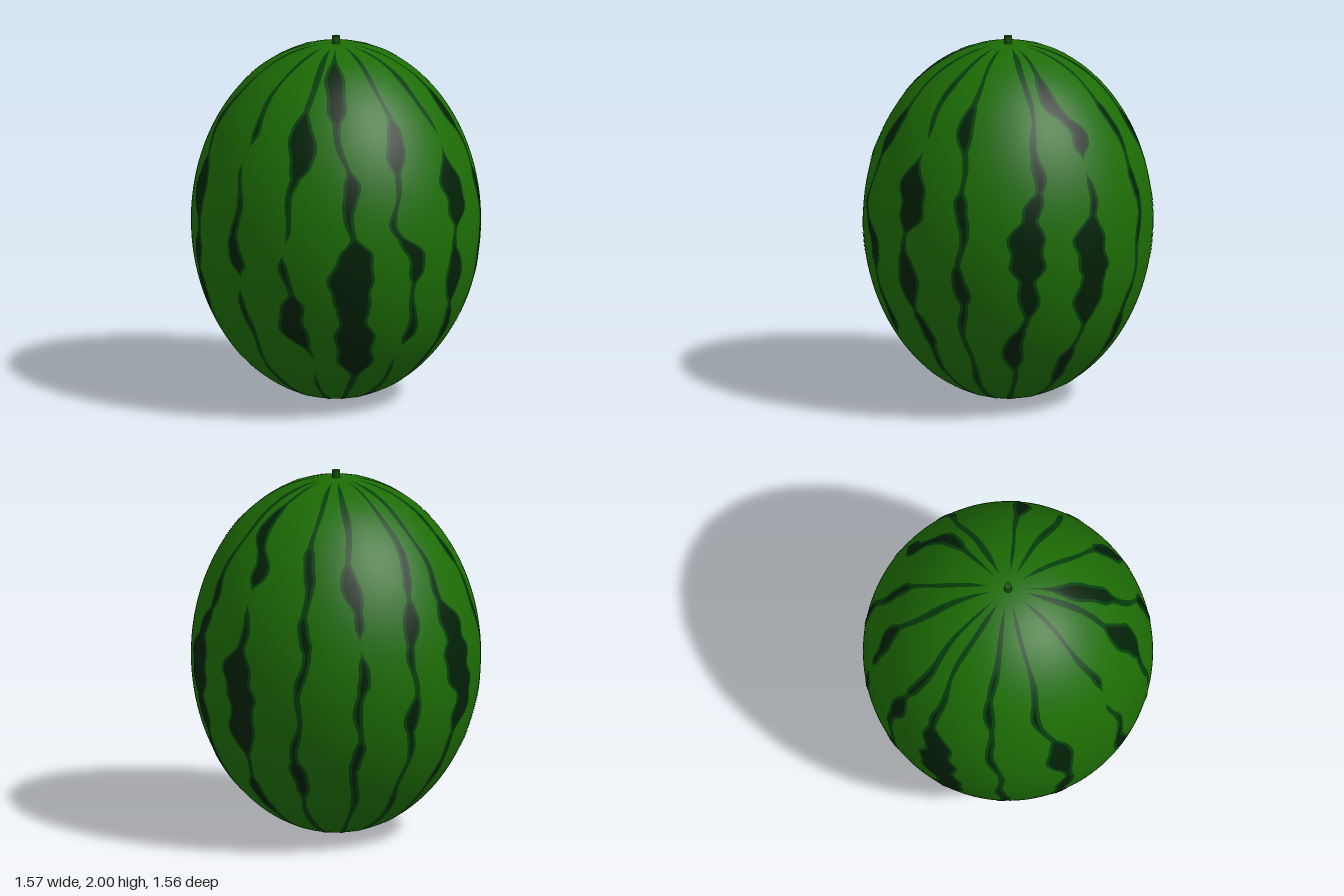
import * as THREE from 'three';
import { mergeGeometries } from 'three/addons/utils/BufferGeometryUtils.js';

const R = 0.78, H = 0.978, CY = 0.982; // rind radius, half height, centre height

// One row per stripe, from top to bottom: height, angle round the fruit, half width of each blotch.
// A negative width breaks the stripe.
const frontStripes = [
  [1.46, 296, -0.02, 1.2, 297, 0.02, 0.93, 297, 0.05, 0.77, 298, -0.01, 0.58, 299, 0.02],
  [1.53, 324, 0.075, 1, 320, -0.01, 0.58, 322, 0.075, 0.31, 329, -0.03],
  [1.78, 340, 0.055, 1.3, 347, 0.045, 0.83, 348, 0.12, 0.63, 347, 0.085, 0.45, 351, 0.105],
  [1.52, 11, 0.055, 1.15, 5, 0.01, 0.93, 14, 0.055, 0.5, 16, 0.04, 0.38, 14, -0.01],
  [1.5, 38, -0.01, 1.24, 38, 0.09, 0.79, 36, 0.07, 0.5, 41, 0.04],
  [1.62, 60, 0.045, 1.2, 63, 0.04, 0.79, 62, 0.045],
];
const backStripes = [
  [1.4, 95, 0.035, 1.2, 92, 0.05, 1, 88, 0.1, 0.75, 91, 0.058, 0.42, 85, 0.055],
  [1.74, 109, 0.045, 1.57, 119, 0.05, 1.42, 119, -0.01, 0.97, 117, 0.1, 0.74, 118, 0.09, 0.3, 114, 0.045],
  [1.6, 146, 0.035, 1.26, 147, 0.035, 0.45, 142, 0.045],
  [1.5, 167, 0.05, 1.21, 171, -0.01, 1.04, 170, 0.035, 0.58, 169, 0.035],
  [1.55, 197, 0.03, 1.3, 192, 0.05, 0.8, 193, 0.045],
  [1.5, 211, 0.012, 1.22, 215, 0.085, 1.03, 218, 0.11, 0.82, 221, 0.08, 0.42, 216, 0.03],
  [1.6, 237, 0.03, 0.88, 244, 0.018, 0.48, 244, 0.04],
  [1.58, 261, 0.025, 1.22, 269, 0.075, 0.88, 270, 0.045, 0.66, 267, 0.045],
];

// Radius of the rind at a height above its centre
const radiusAt = (y) => R * Math.sqrt(1 - (y / H) ** 2);

// Path down one stripe: x is angle, y is height above the centre, z is half width
function stripePath(row, index) {
  const steps = 200, path = [];
  for (let j = 0; j <= steps; j++) {
    const h = CY + H * Math.cos(Math.PI * (0.04 + 0.92 * j / steps));
    const thin = 0.021 + 0.006 * Math.sin(h * 13 + index * 2.4);
    let angle = row[1], width = thin * Math.sqrt(radiusAt(h - CY) / R);
    for (let i = 0; i < row.length; i += 3) {
      // Ease from one blotch's angle to the next
      if (i > 0) {
        const t = THREE.MathUtils.smoothstep(-h, -row[i - 3], -row[i]);
        angle += (row[i + 1] - row[i - 2]) * t;
      }
      const size = row[i + 2];
      const bump = Math.exp(-(((h - row[i]) / (0.06 + 1.2 * Math.abs(size))) ** 4));
      width = size < 0 ? width * (1 - bump) : Math.max(width, size * bump);
    }
    angle += 1.2 * Math.sin(h * 17 + index * 1.7);
    width *= 1 + 0.1 * Math.sin(h * 37 + index);
    const taper = Math.min(1, (Math.min(j, steps - j) + 0.5) / 10);
    path.push(new THREE.Vector3(THREE.MathUtils.degToRad(angle), h - CY, width * taper));
  }
  return path;
}

// Ribbon lying on the rind, narrowed by inset and raised by lift
function ribbon(path, inset, lift) {
  const cols = 6, pos = [], nor = [], idx = [];
  path.forEach(({ x: angle, y, z: width }, j) => {
    const r = radiusAt(y), w = Math.max(0, width - inset);
    for (let i = 0; i <= cols; i++) {
      const a = angle + (i / cols * 2 - 1) * w / r;
      const m = new THREE.Vector3(Math.sin(a) * r / R ** 2, y / H ** 2, Math.cos(a) * r / R ** 2).normalize();
      pos.push(Math.sin(a) * r + m.x * lift, y + m.y * lift, Math.cos(a) * r + m.z * lift);
      nor.push(m.x, m.y, m.z);
      if (j < path.length - 1 && i < cols) {
        const k = j * (cols + 1) + i, l = k + cols + 1;
        idx.push(k, l, k + 1, k + 1, l, l + 1);
      }
    }
  });
  const g = new THREE.BufferGeometry();
  g.setAttribute('position', new THREE.Float32BufferAttribute(pos, 3));
  g.setAttribute('normal', new THREE.Float32BufferAttribute(nor, 3));
  g.setIndex(idx);
  return g;
}

export function createModel() {
  const group = new THREE.Group();
  group.name = 'watermelon';
  const mat = (name, color) => new THREE.MeshStandardMaterial({ name, color });
  const add = (name, geometry, material, y) => {
    const mesh = new THREE.Mesh(geometry, material);
    mesh.name = name;
    mesh.position.y = y;
    group.add(mesh);
  };
  const stemGreen = mat('stem green', 0x145008);

  // Rind
  add('rind', new THREE.SphereGeometry(1, 128, 96).scale(R, H, R), mat('rind green', 0x1d6c05), CY);

  // Stripes: a mid green border with a darker core where they are wide
  const paths = [...frontStripes, ...backStripes].map(stripePath);
  add('stripeBorders', mergeGeometries(paths.map((p) => ribbon(p, 0, 0.002))), mat('stripe green', 0x053f0c), CY);
  add('stripeCores', mergeGeometries(paths.map((p) => ribbon(p, 0.018, 0.0035))), mat('dark stripe green', 0x022107), CY);

  // Stem on top and blossom end underneath
  add('stem', new THREE.CylinderGeometry(0.021, 0.023, 0.06, 16), stemGreen, 1.97);
  add('blossomEnd', new THREE.CylinderGeometry(0.016, 0.014, 0.01, 16), stemGreen, 0.005);
  return group;
}
